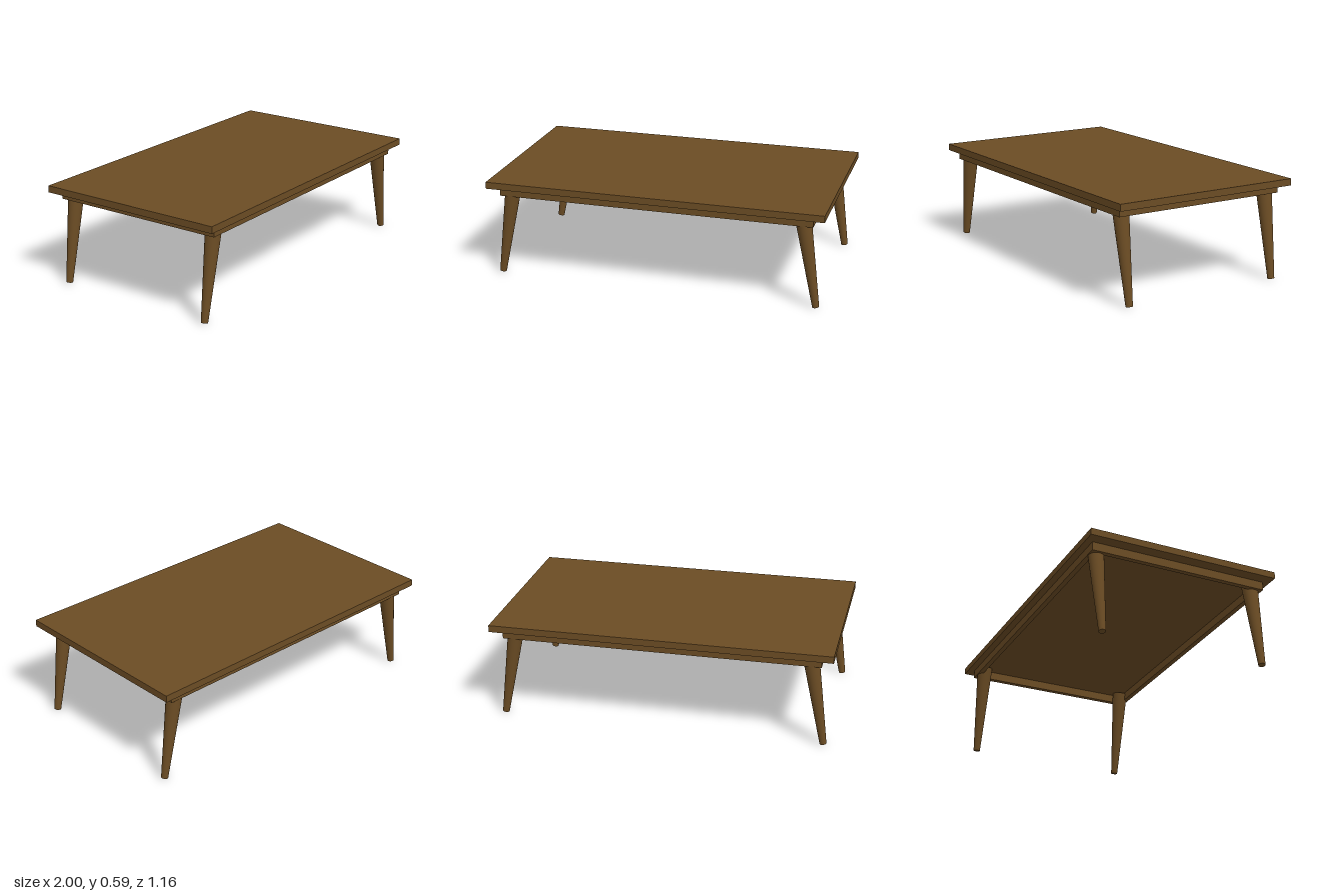
import * as THREE from 'three';

export function createModel() {
  const model = new THREE.Group();
  model.name = 'coffeeTable';
  const wood = new THREE.MeshStandardMaterial({ color: 0x6b4c24 });

  const addBox = (name, w, h, d, x, y, z) => {
    const mesh = new THREE.Mesh(new THREE.BoxGeometry(w, h, d), wood);
    mesh.name = name;
    mesh.position.set(x, y, z);
    model.add(mesh);
  };

  // Table top
  addBox('tableTop', 2, 0.04, 1.16, 0, 0.57, 0);

  // Apron: a hollow frame of four boards under the top
  const halfX = 0.93, halfZ = 0.54, board = 0.03;
  for (const s of [1, -1]) {
    addBox(s > 0 ? 'frontApron' : 'backApron', halfX * 2, 0.05, board, 0, 0.525, s * (halfZ - board / 2));
    addBox(s > 0 ? 'leftApron' : 'rightApron', board, 0.05, (halfZ - board) * 2, s * (halfX - board / 2), 0.525, 0);
  }

  // Tapered round legs, splayed outward along x
  const up = new THREE.Vector3(0, 1, 0);
  for (const sx of [1, -1]) {
    for (const sz of [1, -1]) {
      const top = new THREE.Vector3(sx * 0.862, 0.55, sz * 0.491);
      const foot = new THREE.Vector3(sx * 0.953, 0.0035, sz * 0.491);
      const axis = top.clone().sub(foot);
      const leg = new THREE.Mesh(new THREE.CylinderGeometry(0.0475, 0.02, axis.length(), 32), wood);
      leg.name = (sz > 0 ? 'front' : 'back') + (sx > 0 ? 'Left' : 'Right') + 'Leg';
      leg.position.copy(top).add(foot).multiplyScalar(0.5);
      leg.quaternion.setFromUnitVectors(up, axis.normalize());
      model.add(leg);
    }
  }
  return model;
}
